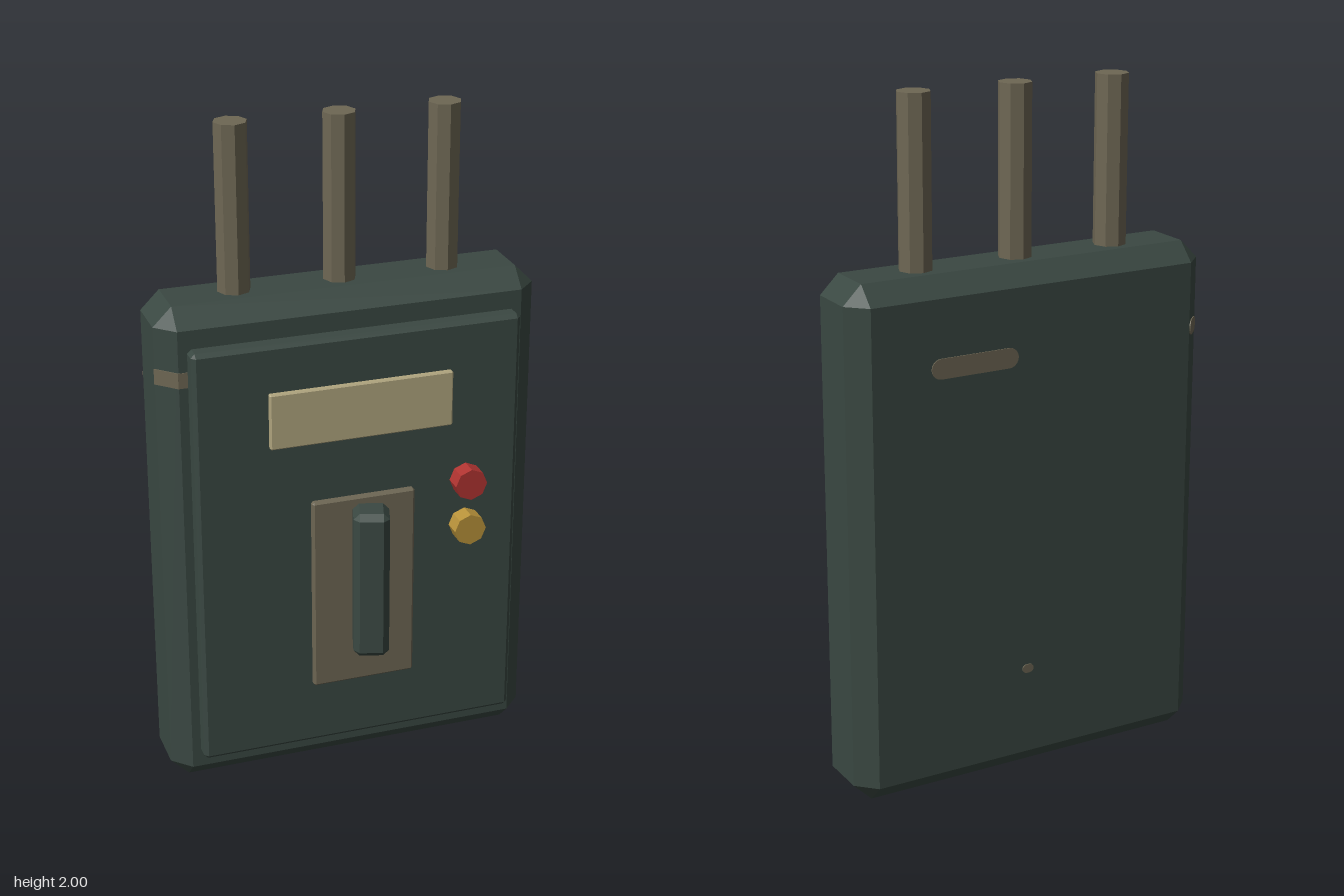
import * as THREE from 'three';
import { ConvexGeometry } from 'three/addons/geometries/ConvexGeometry.js';

const paint = (name, color, extra = {}) => {
  const m = new THREE.MeshStandardMaterial({ color, ...extra });
  m.name = name;
  return m;
};

// Box with flat chamfers on every edge, centred on the origin
function chamferBox(w, h, d, c) {
  const x = w / 2, y = h / 2, z = d / 2, points = [];
  for (const sx of [-1, 1]) for (const sy of [-1, 1]) for (const sz of [-1, 1]) {
    points.push(
      new THREE.Vector3(sx * x, sy * (y - c), sz * (z - c)),
      new THREE.Vector3(sx * (x - c), sy * y, sz * (z - c)),
      new THREE.Vector3(sx * (x - c), sy * (y - c), sz * z));
  }
  return new ConvexGeometry(points);
}

// Thin plate with rounded ends, lying in the xy plane
function pill(w, h, depth) {
  const r = h / 2, a = w / 2 - r;
  const s = new THREE.Shape();
  s.absarc(a, 0, r, -Math.PI / 2, Math.PI / 2);
  s.absarc(-a, 0, r, Math.PI / 2, Math.PI * 1.5);
  s.closePath();
  return new THREE.ExtrudeGeometry(s, { depth, bevelEnabled: false, curveSegments: 5 });
}

export function createModel() {
  const green = paint('dark green paint', 0x3a4842);
  const metal = paint('worn metal', 0x6e6754);
  const cream = paint('cream label', 0xb1a67f);
  const red = paint('red button', 0xb03431);
  const yellow = paint('yellow button', 0xb8923a);

  const group = new THREE.Group();
  const add = (name, geometry, material, x, y, z, ry = 0) => {
    const mesh = new THREE.Mesh(geometry, material);
    mesh.name = name;
    mesh.position.set(x, y, z);
    mesh.rotation.y = ry;
    group.add(mesh);
    return mesh;
  };

  // Cabinet and its front door
  add('cabinet', chamferBox(1.126, 1.515, 0.25, 0.055), green, 0, 0.7575, -0.11);
  add('door', chamferBox(0.97, 1.3, 0.06, 0.012), green, 0, 0.76, 0.045);

  // Plates on the door
  add('labelPlate', chamferBox(0.544, 0.168, 0.02, 0.004), cream, 0, 1.188, 0.088);
  add('handlePlate', chamferBox(0.31, 0.604, 0.024, 0.006), metal, 0, 0.625, 0.1);

  // Turned handle
  add('handle', chamferBox(0.104, 0.462, 0.104, 0.018), green, 0, 0.685, 0.172, -0.3);

  // Buttons
  const button = new THREE.CylinderGeometry(0.048, 0.048, 0.053, 8).toNonIndexed();
  button.computeVertexNormals();
  button.rotateX(Math.PI / 2);
  add('redButton', button, red, 0.31, 0.936, 0.134);
  add('yellowButton', button, yellow, 0.31, 0.791, 0.134);

  // Conduits leaving the top
  const pipe = new THREE.CylinderGeometry(0.048, 0.048, 0.56, 8).toNonIndexed();
  pipe.computeVertexNormals();
  for (const x of [-0.31, 0, 0.31]) add('conduit', pipe, metal, x, 1.72, -0.11);

  // Worn patches on the back and on the edges beside the door
  add('backScratch', pill(0.27, 0.058, 0.003), metal, 0.195, 1.265, -0.2355, Math.PI);
  add('backChip', pill(0.036, 0.026, 0.003), metal, 0.025, 0.32, -0.2355, Math.PI);
  const strip = new THREE.BoxGeometry(0.078, 0.046, 0.003);
  add('frontEdgeWear', strip, metal, -0.5365, 1.315, -0.0115, -Math.PI / 4);
  add('frontFaceWear', new THREE.BoxGeometry(0.03, 0.046, 0.003), metal, -0.495, 1.315, 0.0155);
  add('backEdgeWear', pill(0.074, 0.046, 0.003), metal, -0.5355, 1.265, -0.2075, -Math.PI * 0.75);

  return group;
}
